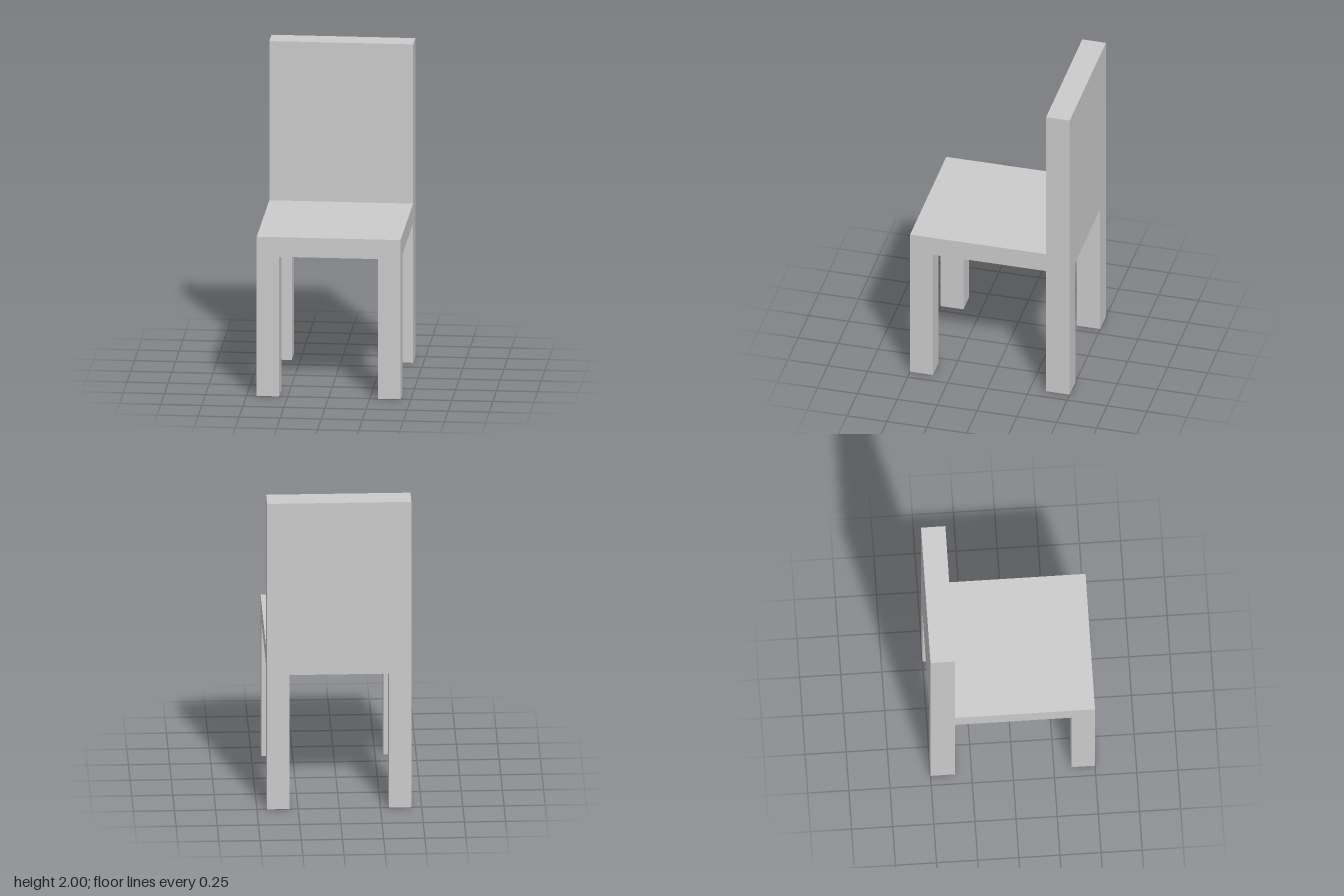
import * as THREE from 'three';

const material = new THREE.MeshStandardMaterial({ color: 0xcccccc, flatShading: true });

// Overall sizes
const HALF_W = 0.438, HALF_D = 0.5, HEIGHT = 2;
const LEG_W = 0.137;
const SEAT_BOTTOM = 0.877, SEAT_TOP = 1;
const FRONT_LEG_BACK = 0.357, BACK_FRONT = -0.352;

// Box given by its lowest and highest corners
function addBox(group, name, [x0, y0, z0], [x1, y1, z1]) {
  const mesh = new THREE.Mesh(new THREE.BoxGeometry(x1 - x0, y1 - y0, z1 - z0), material);
  mesh.position.set((x0 + x1) / 2, (y0 + y1) / 2, (z0 + z1) / 2);
  mesh.name = name;
  group.add(mesh);
}

export function createModel() {
  const chair = new THREE.Group();
  chair.name = 'chair';

  // Seat slab, running from the front edge to the backrest
  addBox(chair, 'seat', [-HALF_W, SEAT_BOTTOM, BACK_FRONT], [HALF_W, SEAT_TOP, HALF_D]);

  // Solid backrest panel, reaching down to the underside of the seat
  addBox(chair, 'backrest', [-HALF_W, SEAT_BOTTOM, -HALF_D], [HALF_W, HEIGHT, BACK_FRONT]);

  // Square legs flush with the outer corners
  for (const [side, x] of [['Left', HALF_W - LEG_W], ['Right', -HALF_W]]) {
    addBox(chair, `front${side}Leg`, [x, 0, FRONT_LEG_BACK], [x + LEG_W, SEAT_BOTTOM, HALF_D]);
    addBox(chair, `back${side}Leg`, [x, 0, -HALF_D], [x + LEG_W, SEAT_BOTTOM, BACK_FRONT]);
  }

  return chair;
}
